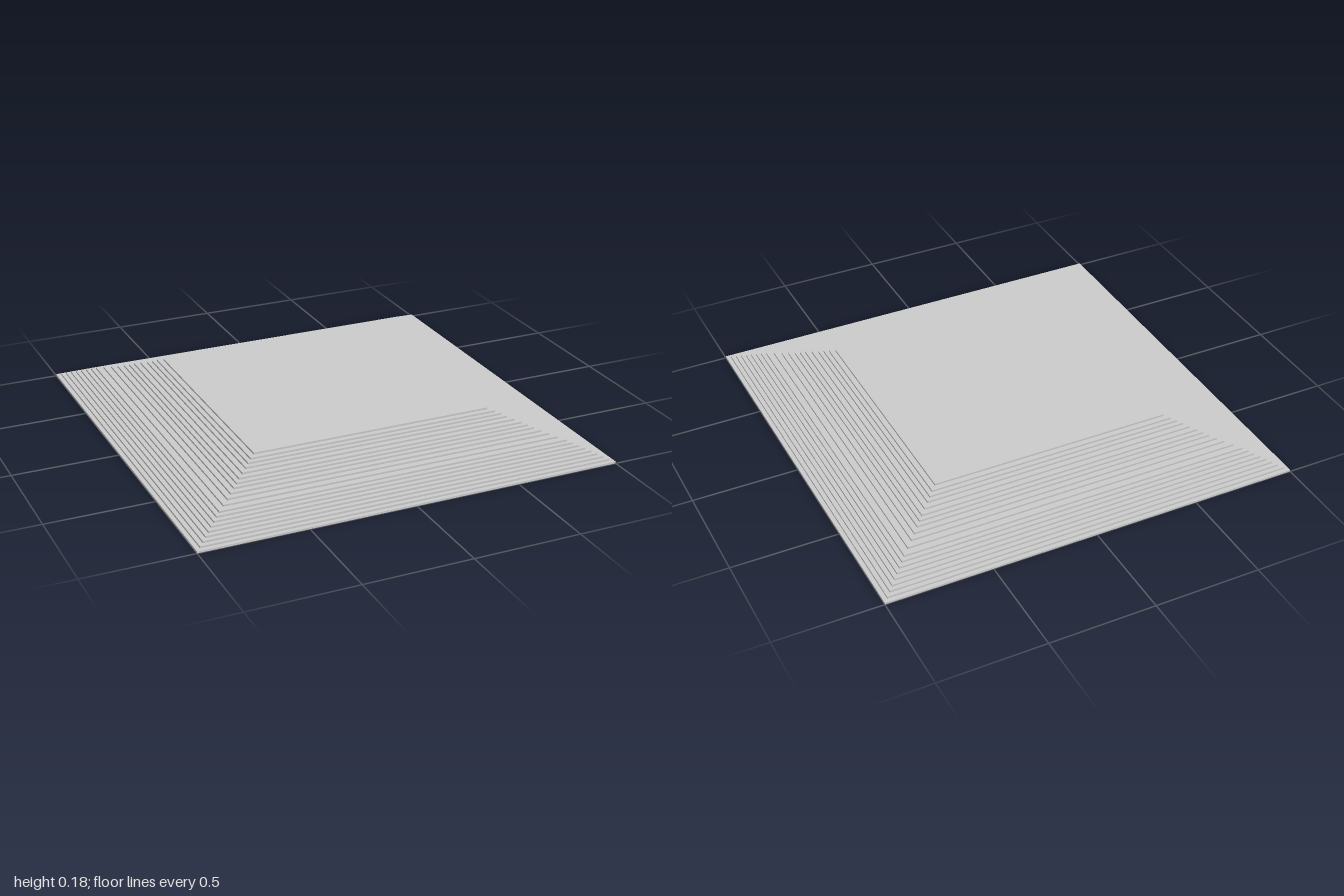
import * as THREE from 'three';

export function createModel() {
  const model = new THREE.Group();
  model.name = 'steppedPlatform';
  const material = new THREE.MeshStandardMaterial({ color: 0xcccccc, flatShading: true });

  // Half-width of each square slab, from the ground up
  const halfWidths = [
    1, 0.98, 0.96, 0.94, 0.92, 0.9, 0.88, 0.86, 0.84, 0.81,
    0.78, 0.755, 0.73, 0.71, 0.69, 0.665, 0.64, 0.62, 0.6, 0.575,
  ];
  const stepHeight = 0.18 / halfWidths.length;

  // Stack of thin square slabs forming the stairs and the flat top
  halfWidths.forEach((half, i) => {
    const slab = new THREE.Mesh(new THREE.BoxGeometry(2 * half, stepHeight, 2 * half), material);
    slab.position.y = (i + 0.5) * stepHeight;
    slab.name = i === halfWidths.length - 1 ? 'topSlab' : `step${i + 1}`;
    model.add(slab);
  });

  return model;
}
